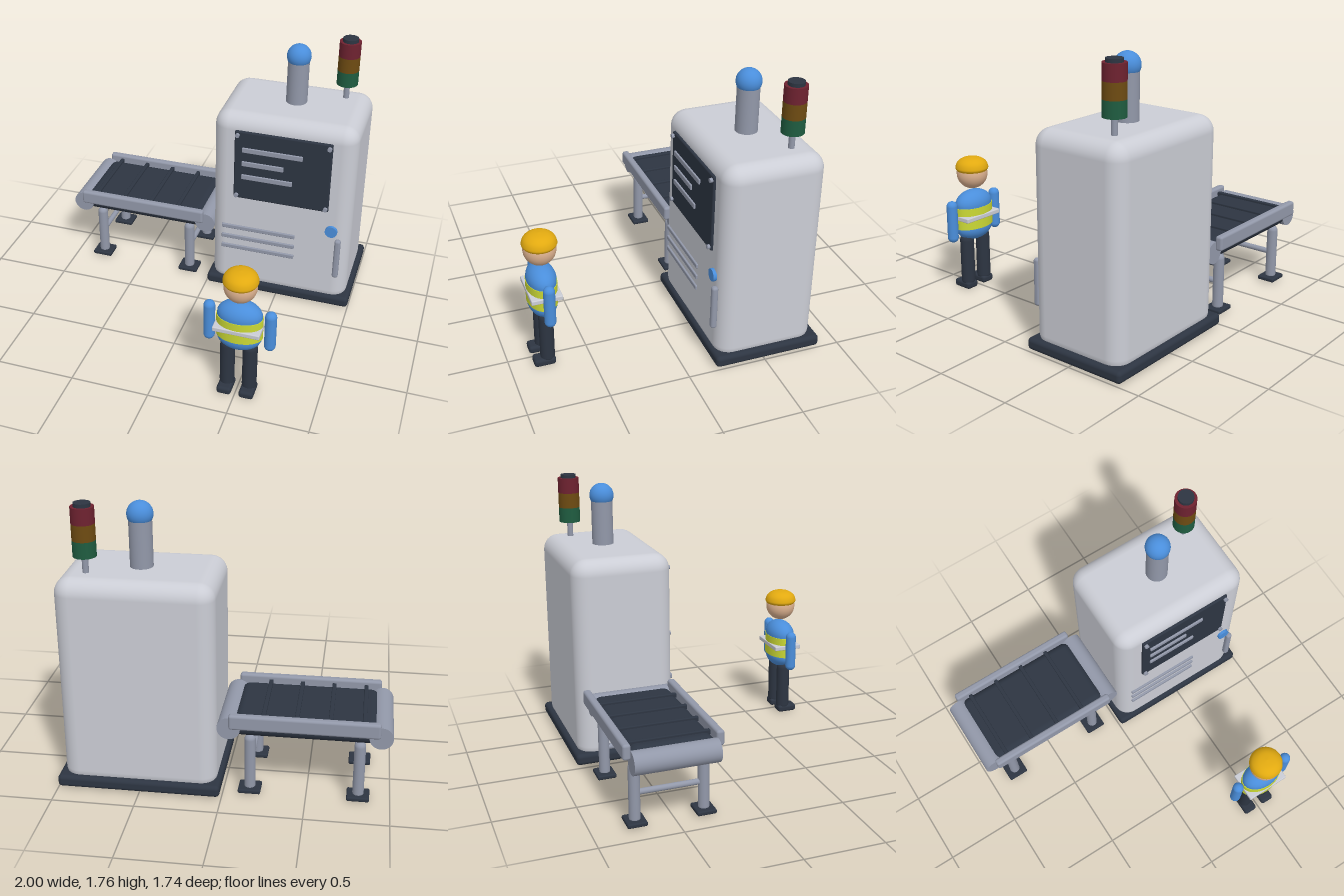
import * as THREE from 'three';
import { RoundedBoxGeometry } from 'three/addons/geometries/RoundedBoxGeometry.js';

const mat = (name, color) => {
  const m = new THREE.MeshStandardMaterial({ color });
  m.name = name;
  return m;
};

export function createModel() {
  const casing = mat('casing grey', 0xcbcdd5);
  const dark = mat('dark slate', 0x2d3542);
  const steel = mat('steel', 0x9298a9);
  const blue = mat('blue', 0x4a8edb);
  const lime = mat('safety lime', 0xcbd935);
  const helmetYellow = mat('helmet yellow', 0xe2aa10);
  const skin = mat('skin', 0xdbb08e);
  const red = mat('lamp red', 0x6e2230);
  const amber = mat('lamp amber', 0x6e4b12);
  const green = mat('lamp green', 0x1f5c40);

  const model = new THREE.Group();
  const group = (name) => {
    const g = new THREE.Group();
    g.name = name;
    model.add(g);
    return g;
  };
  const add = (parent, name, geometry, material, x, y, z) => {
    const mesh = new THREE.Mesh(geometry, material);
    mesh.name = name;
    mesh.position.set(x, y, z);
    parent.add(mesh);
    return mesh;
  };
  // Rounded box given by its lower and upper bounds on each axis
  const box = (parent, name, material, [x0, x1], [y0, y1], [z0, z1], r) =>
    add(parent, name, new RoundedBoxGeometry(x1 - x0, y1 - y0, z1 - z0, 4, r), material,
      (x0 + x1) / 2, (y0 + y1) / 2, (z0 + z1) / 2);
  // Upright cylinder from y0 to y1
  const post = (parent, name, material, r, x, y0, y1, z) =>
    add(parent, name, new THREE.CylinderGeometry(r, r, y1 - y0, 32), material, x, (y0 + y1) / 2, z);
  // Upright capsule from y0 to y1
  const capsule = (parent, name, material, r, x, y0, y1, z) =>
    add(parent, name, new THREE.CapsuleGeometry(r, y1 - y0 - 2 * r, 8, 24), material, x, (y0 + y1) / 2, z);
  // Cylinder lying along z
  const rod = (parent, name, material, r, x, y, z0, z1) => {
    const m = add(parent, name, new THREE.CylinderGeometry(r, r, z1 - z0, 32), material, x, y, (z0 + z1) / 2);
    m.rotation.x = Math.PI / 2;
  };

  // Machine cabinet
  const machine = group('machine');
  box(machine, 'base', dark, [0.01, 1], [0.01, 0.085], [-0.87, -0.18], 0.025);
  box(machine, 'cabinet', casing, [0.035, 0.97], [0.015, 1.34], [-0.84, -0.2], 0.1);

  // Control panel with display bars and corner screws
  box(machine, 'controlPanel', dark, [0.187, 0.82], [0.747, 1.243], [-0.21, -0.184], 0.01);
  [[1.115, 0.635], [1.015, 0.515], [0.917, 0.575]].forEach(([y, end]) =>
    box(machine, 'displayBar', steel, [0.24, end], [y - 0.017, y + 0.017], [-0.19, -0.174], 0.004));
  for (const x of [0.208, 0.802])
    for (const y of [0.772, 1.217]) rod(machine, 'screw', steel, 0.014, x, y, -0.19, -0.167);

  // Vents, button and door handle
  for (const y of [0.345, 0.425, 0.505])
    box(machine, 'vent', steel, [0.11, 0.61], [y - 0.015, y + 0.015], [-0.21, -0.188], 0.006);
  rod(machine, 'button', blue, 0.04, 0.85, 0.602, -0.21, -0.18);
  box(machine, 'doorHandle', steel, [0.88, 0.92], [0.255, 0.55], [-0.205, -0.165], 0.016);

  // Exhaust pipe with a ball cap
  post(machine, 'exhaustPipe', steel, 0.069, 0.505, 1.3, 1.65, -0.525);
  add(machine, 'exhaustBall', new THREE.SphereGeometry(0.078, 32, 24), blue, 0.505, 1.657, -0.525);

  // Signal tower
  const tower = group('signalTower');
  post(tower, 'towerPole', steel, 0.019, 0.8, 1.32, 1.45, -0.672);
  [green, amber, red].forEach((m, i) =>
    post(tower, 'signalLamp', m, 0.069, 0.8, 1.44 + i * 0.098, 1.538 + i * 0.098, -0.672));
  post(tower, 'towerCap', dark, 0.05, 0.8, 1.73, 1.756, -0.672);

  // Conveyor
  const conveyor = group('conveyor');
  for (const x of [-0.93, -0.035]) rod(conveyor, 'roller', steel, 0.07, x, 0.44, -0.782, -0.27);
  box(conveyor, 'belt', dark, [-0.915, -0.06], [0.385, 0.515], [-0.782, -0.272], 0.055);
  for (const x of [-0.83, -0.633, -0.436, -0.239])
    box(conveyor, 'cleat', dark, [x - 0.013, x + 0.013], [0.5, 0.53], [-0.775, -0.283], 0.006);
  for (const z of [-0.803, -0.252])
    box(conveyor, 'sideRail', steel, [-0.925, -0.04], [0.455, 0.55], [z - 0.024, z + 0.024], 0.016);
  for (const x of [-0.81, -0.16]) {
    for (const z of [-0.735, -0.315]) {
      capsule(conveyor, 'conveyorLeg', steel, 0.034, x, 0.01, 0.39, z);
      box(conveyor, 'conveyorFoot', dark, [x - 0.068, x + 0.068], [0.008, 0.036], [z - 0.06, z + 0.06], 0.01);
    }
    rod(conveyor, 'crossBar', steel, 0.018, x, 0.2, -0.735, -0.315);
  }

  // Standing attendant
  const attendant = group('attendant');
  const cx = 0.504, cz = 0.765;
  capsule(attendant, 'torso', blue, 0.09, cx, 0.33, 0.668, cz).scale.set(1.53, 1, 1);
  post(attendant, 'vestBand', lime, 0.093, cx, 0.425, 0.567, cz).scale.set(1.53, 1, 1);
  box(attendant, 'reflectiveStrip', casing, [cx - 0.143, cx + 0.143], [0.486, 0.517], [cz - 0.096, cz + 0.096], 0.006);
  for (const s of [-1, 1]) {
    const x = cx + s * 0.07;
    capsule(attendant, 'arm', blue, 0.035, cx + s * 0.187, 0.352, 0.632, cz);
    capsule(attendant, 'leg', dark, 0.045, x, 0.01, 0.38, cz);
    box(attendant, 'shoe', dark, [x - 0.045, x + 0.045], [0, 0.05], [0.72, 0.855], 0.018);
  }
  add(attendant, 'head', new THREE.SphereGeometry(0.1, 32, 24), skin, cx, 0.78, cz);

  // Domed hard hat with a rolled lower edge
  const hat = new THREE.SplineCurve([[0, 0], [0.085, 0.002], [0.103, 0.014], [0.106, 0.03], [0.092, 0.062],
    [0.055, 0.086], [0, 0.094]].map(([x, y]) => new THREE.Vector2(x, y))).getPoints(24);
  add(attendant, 'hardHat', new THREE.LatheGeometry(hat, 32), helmetYellow, cx, 0.797, cz);

  return model;
}
